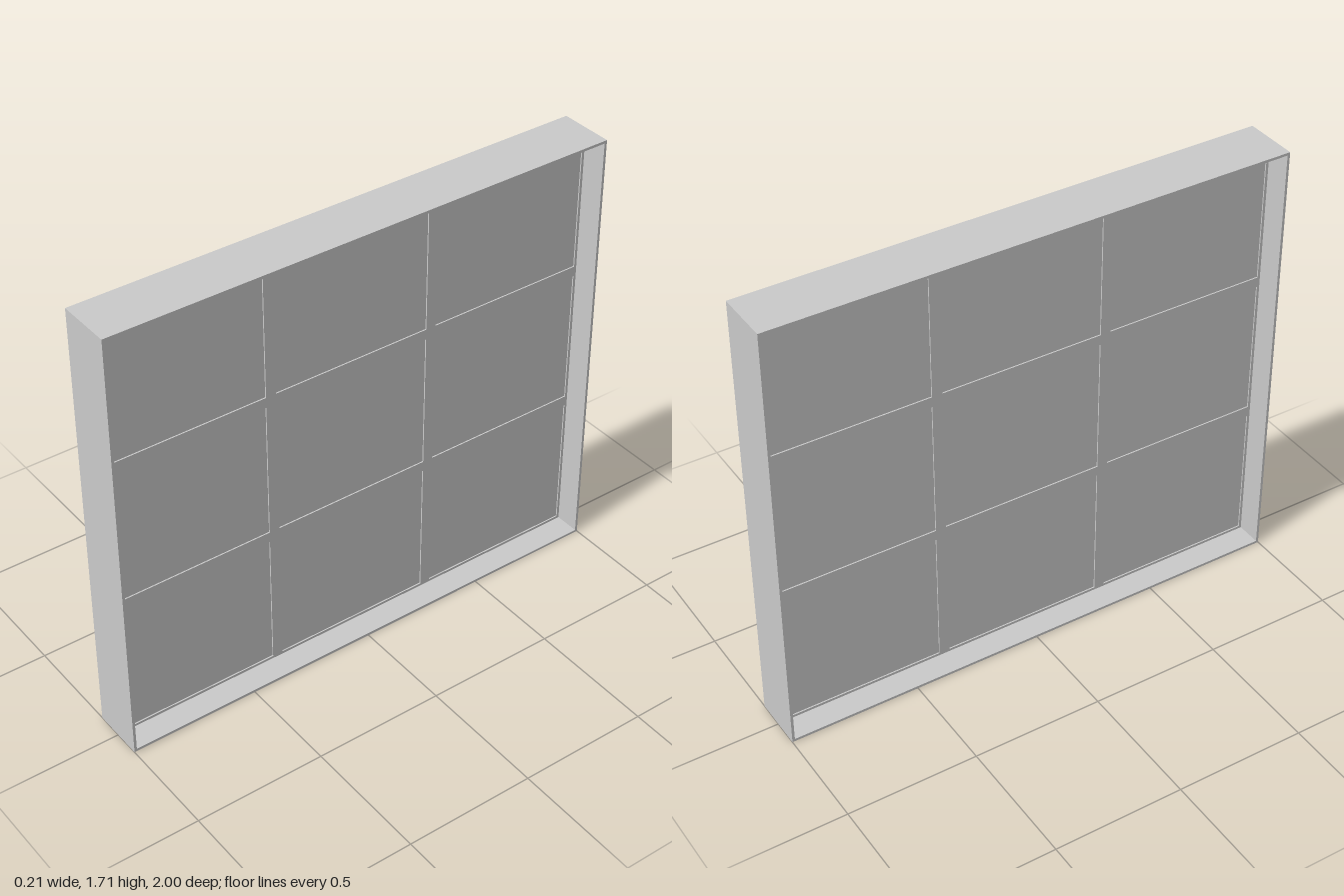
import * as THREE from 'three';

const W = 2, H = 1.71, DEPTH = 0.21;   // overall size along z, y and x
const RIM = 0.01, BORDER = 0.02, BAR = 0.04;
const LATTICE = 0.016, PANE = 0.006;   // thicknesses along x
const N = 3;

const material = new THREE.MeshStandardMaterial({ color: 0xcccccc });

// Adds the corners of a rectangle centred on (u, v) to a shape or path
function rect(path, u, v, w, h) {
  path.moveTo(u - w / 2, v - h / 2);
  path.lineTo(u + w / 2, v - h / 2);
  path.lineTo(u + w / 2, v + h / 2);
  path.lineTo(u - w / 2, v + h / 2);
  path.closePath();
  return path;
}

// Extrudes a shape drawn in the z-y plane symmetrically about x = 0
function slab(shape, thickness, name) {
  const g = new THREE.ExtrudeGeometry(shape, { depth: thickness, bevelEnabled: false });
  g.translate(0, 0, -thickness / 2);
  g.rotateY(Math.PI / 2);
  const mesh = new THREE.Mesh(g, material);
  mesh.name = name;
  return mesh;
}

export function createModel() {
  const group = new THREE.Group();
  group.name = 'window';

  // Deep outer frame
  const outer = rect(new THREE.Shape(), 0, H / 2, W, H);
  outer.holes.push(rect(new THREE.Path(), 0, H / 2, W - 2 * RIM, H - 2 * RIM));
  group.add(slab(outer, DEPTH, 'outerFrame'));

  // Thin lattice of glazing bars with one opening per pane
  const lattice = rect(new THREE.Shape(), 0, H / 2, W - 2 * RIM, H - 2 * RIM);
  const cw = (W - 2 * BORDER - (N - 1) * BAR) / N;
  const ch = (H - 2 * BORDER - (N - 1) * BAR) / N;
  const panes = new THREE.Group();
  panes.name = 'panes';
  for (let i = 0; i < N; i++) {
    for (let j = 0; j < N; j++) {
      const z = (i - 1) * (cw + BAR), y = H / 2 + (j - 1) * (ch + BAR);
      lattice.holes.push(rect(new THREE.Path(), z, y, cw, ch));

      // Pane set slightly behind the bars on both sides
      const pane = new THREE.Mesh(new THREE.BoxGeometry(PANE, ch, cw), material);
      pane.position.set(0, y, z);
      pane.name = 'pane';
      panes.add(pane);
    }
  }
  group.add(slab(lattice, LATTICE, 'glazingBars'), panes);
  return group;
}
